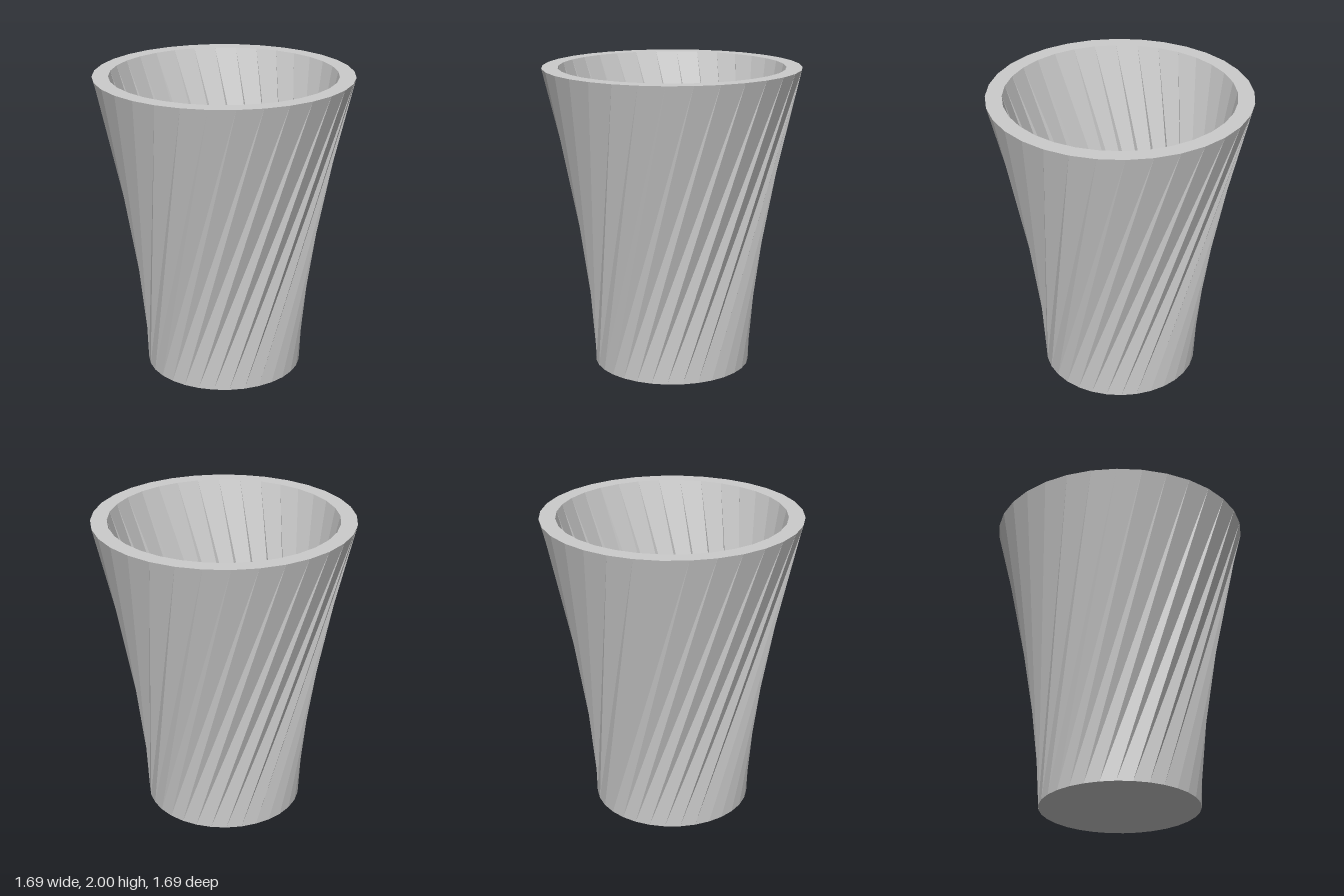
import * as THREE from 'three';

const SIDES = 32;
const TWIST = 1; // radians the top turns, anticlockwise from above
const HEIGHT = 2;
const FLOOR = 0.1;

// Corners of a regular polygon lying flat at height y
function ring(radius, y, turn = 0) {
  return Array.from({ length: SIDES }, (_, i) => {
    const a = (i / SIDES) * Math.PI * 2 + turn;
    return [radius * Math.cos(a), y, -radius * Math.sin(a)];
  });
}

// Strip of triangles joining two rings; faces outward when a is below b
function band(a, b) {
  const out = [];
  for (let i = 0; i < SIDES; i++) {
    const j = (i + 1) % SIDES;
    out.push(a[i], a[j], b[i], a[j], b[j], b[i]);
  }
  return out;
}

// Flat disc filling a ring, facing up
function disc(r) {
  const out = [];
  for (let i = 0; i < SIDES; i++) out.push([0, r[0][1], 0], r[i], r[(i + 1) % SIDES]);
  return out;
}

// Turn triangles to face the other way
function flip(points) {
  const out = [];
  for (let i = 0; i < points.length; i += 3) out.push(points[i], points[i + 2], points[i + 1]);
  return out;
}

export function createModel() {
  const group = new THREE.Group();
  group.name = 'twistedCup';
  const material = new THREE.MeshStandardMaterial({ color: 0xcccccc, flatShading: true });

  function add(name, points) {
    const geometry = new THREE.BufferGeometry();
    geometry.setAttribute('position', new THREE.Float32BufferAttribute(points.flat(), 3));
    geometry.computeVertexNormals();
    const mesh = new THREE.Mesh(geometry, material);
    mesh.name = name;
    group.add(mesh);
  }

  const outerBase = ring(0.52, 0);
  const outerTop = ring(0.845, HEIGHT, TWIST);
  const innerBase = ring(0.455, FLOOR);
  const innerTop = ring(0.74, HEIGHT, TWIST);

  add('outerWall', band(outerBase, outerTop));
  add('innerWall', flip(band(innerBase, innerTop)));
  add('rim', band(outerTop, innerTop));
  add('innerFloor', disc(innerBase));
  add('underside', flip(disc(outerBase)));
  return group;
}
